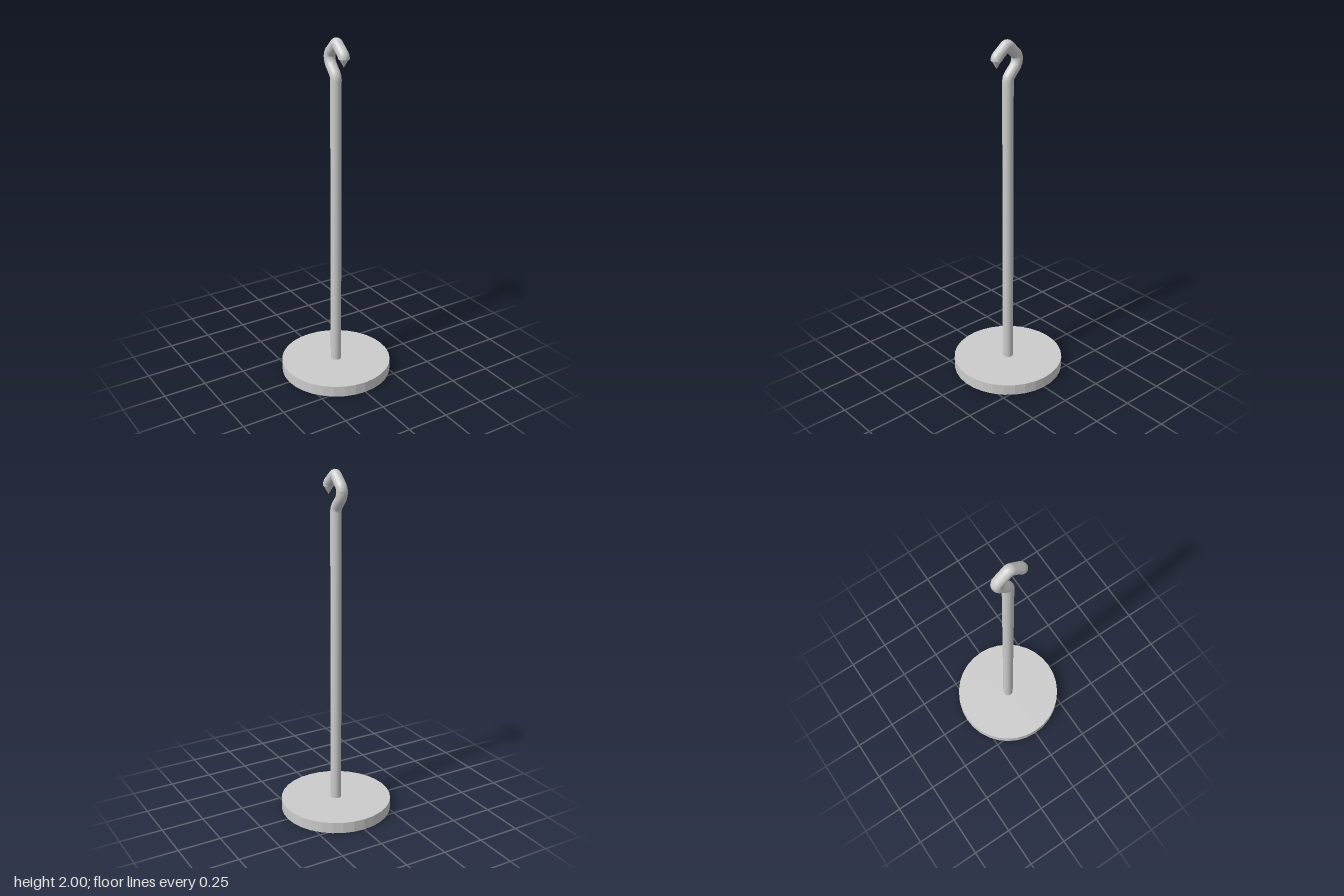
import * as THREE from 'three';

const R = 0.031; // rod and hook thickness

// Polyline in the YZ plane with every inner corner rounded off by [z, y, cut]
function roundedPath(points) {
  const v = points.map(([z, y]) => new THREE.Vector3(0, y, z));
  const path = new THREE.CurvePath();
  let from = v[0];
  for (let i = 1; i < v.length - 1; i++) {
    const cut = points[i][2];
    const a = v[i].clone().add(v[i - 1].clone().sub(v[i]).setLength(cut));
    const b = v[i].clone().add(v[i + 1].clone().sub(v[i]).setLength(cut));
    path.add(new THREE.LineCurve3(from, a));
    path.add(new THREE.QuadraticBezierCurve3(a, v[i], b));
    from = b;
  }
  path.add(new THREE.LineCurve3(from, v[v.length - 1]));
  return path;
}

export function createModel() {
  const group = new THREE.Group();
  const smooth = new THREE.MeshStandardMaterial({ color: 0xcccccc });
  const flat = new THREE.MeshStandardMaterial({ color: 0xcccccc, flatShading: true });

  const add = (name, geometry, material, y, z = 0) => {
    const mesh = new THREE.Mesh(geometry, material);
    mesh.name = name;
    mesh.position.set(0, y, z);
    group.add(mesh);
  };

  // Round faceted foot
  add('base', new THREE.CylinderGeometry(0.323, 0.323, 0.065, 32), flat, 0.0325);

  // Upright rod
  add('rod', new THREE.CylinderGeometry(R, R, 1.71, 32), smooth, 0.065 + 1.71 / 2);

  // Bent hook, ending straight down over the point
  const path = roundedPath([
    [0, 1.765],
    [0, 1.792, 0.022],
    [-0.064, 1.862, 0.03],
    [-0.064, 1.906, 0.02],
    [0.006, 1.973, 0.014],
    [0.078, 1.915, 0.014],
    [0.078, 1.9],
  ]);
  add('hook', new THREE.TubeGeometry(path, 80, R, 24), smooth, 0);

  // Conical point at the hook's tip
  const tip = new THREE.ConeGeometry(R, 0.052, 24);
  tip.rotateX(Math.PI);
  add('hookPoint', tip, smooth, 1.881, 0.078);

  return group;
}
